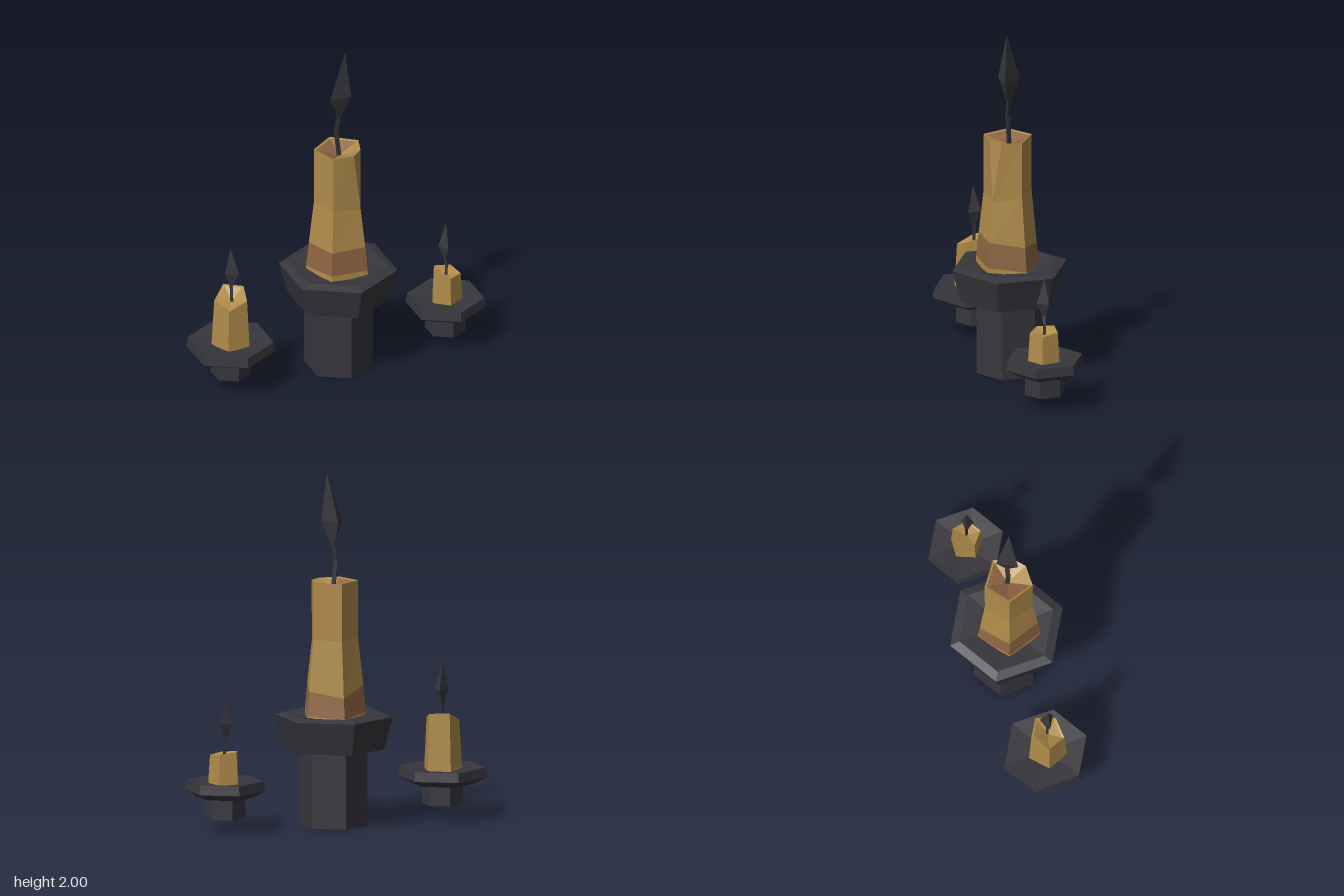
import * as THREE from 'three';

const V = (x, y, z) => new THREE.Vector3(x, y, z);

// Ring of points; angle runs from +x towards +z, y is a number or a list per corner
function ring(n, cx, cz, r, y, startDeg) {
  return Array.from({ length: n }, (_, i) => {
    const a = THREE.MathUtils.degToRad(startDeg + (i * 360) / n);
    return V(cx + r * Math.cos(a), Array.isArray(y) ? y[i] : y, cz + r * Math.sin(a));
  });
}

// Faceted skin through rings, from bottom to top; keep(row, side) selects faces
function loft(rings, keep = () => true) {
  const pos = [];
  const tri = (a, b, c) => {
    const area = b.clone().sub(a).cross(c.clone().sub(a)).length();
    if (area > 1e-8) for (const p of [a, b, c]) pos.push(p.x, p.y, p.z);
  };
  for (let k = 0; k + 1 < rings.length; k++) {
    const a = rings[k], b = rings[k + 1], n = a.length;
    for (let i = 0; i < n; i++) {
      if (!keep(k, i)) continue;
      const j = (i + 1) % n;
      tri(a[i], b[i], a[j]);
      tri(a[j], b[i], b[j]);
    }
  }
  const g = new THREE.BufferGeometry();
  g.setAttribute('position', new THREE.Float32BufferAttribute(pos, 3));
  g.computeVertexNormals();
  return g;
}

const point = (n, x, y, z) => Array.from({ length: n }, () => V(x, y, z));

export function createModel() {
  const root = new THREE.Group();
  const material = (name, color) => {
    const m = new THREE.MeshStandardMaterial({ color });
    m.name = name;
    return m;
  };
  const iron = material('dark iron', 0x36363c);
  const wax = material('golden wax', 0xb08b4a);
  const meltedWax = material('brown wax', 0x8f6642);

  const add = (group, name, geometry, mat) => {
    const mesh = new THREE.Mesh(geometry, mat);
    mesh.name = name;
    group.add(mesh);
  };
  const newGroup = (name) => {
    const g = new THREE.Group();
    g.name = name;
    root.add(g);
    return g;
  };

  // Hexagonal stem and dish from [radius, y] pairs
  const addHolder = (group, cx, cz, profile) =>
    add(group, 'holder', loft(profile.map(([r, y]) => ring(6, cx, cz, r, y, 90))), iron);

  // Bent three-sided wick along a path of [x, y, z]
  const addWick = (group, path, r, start) => {
    const rings = path.map(([x, y, z]) => ring(3, x, z, r, y, start));
    add(group, 'wick', loft(rings), iron);
  };

  // Three-sided spindle flame
  const addFlame = (group, base, mid, r, tip, start) => {
    add(group, 'flame', loft([
      point(3, ...base),
      ring(3, base[0], base[2], r * 0.22, base[1], start),
      ring(3, mid[0], mid[2], r, mid[1], start),
      point(3, ...tip),
    ]), iron);
  };

  // ---- Large centre candle ----
  const centre = newGroup('centreCandle');
  const cx = 0.01, cz = 0.012;
  addHolder(centre, cx, 0, [
    [0, 0], [0.193, 0], [0.193, 0.435], [0.286, 0.435],
    [0.336, 0.62], [0.28, 0.635], [0, 0.6],
  ]);

  // Pentagon with its front left corner doubled, so the top can be bevelled
  const body = (r, y) => {
    const p = ring(5, cx, cz, r, y, -90);
    return [p[0], p[1], p[2].clone(), p[2], p[3], p[4]];
  };
  const rim = body(0.142, 1.385);
  rim[2].set(0.112, 1.385, 0.078);
  rim[3].set(0.05, 1.385, 0.13);
  const inner = rim.map((p) => V(cx + (p.x - cx) * 0.9, 1.38, cz + (p.z - cz) * 0.9));
  const bodyRings = [
    body(0.19, 0.6),
    body(0.186, [0.62, 0.63, 0.655, 0.66, 0.64]),
    body(0.171, [0.74, 0.77, 0.8, 0.8, 0.79]),
    body(0.141, [1.06, 1.06, 1.03, 1.06, 1.06]),
    rim,
    inner,
    point(6, cx, 1.335, 0.005),
  ];
  // Brown areas: the band near the foot and the back of the melted bowl
  const isBrown = (row, side) => row === 1 || (row === 5 && (side === 0 || side >= 4));
  add(centre, 'candleBody', loft(bodyRings, (k, i) => !isBrown(k, i)), wax);
  add(centre, 'meltedWax', loft(bodyRings, isBrown), meltedWax);
  addWick(centre, [[0.01, 1.33, 0.005], [-0.01, 1.5, 0.005], [0.01, 1.61, 0.005]], 0.016, -90);
  addFlame(centre, [0.01, 1.59, 0.005], [0.006, 1.72, 0.01], 0.073, [0.04, 2, 0.026], -90);

  // ---- Small side candles ----
  const sides = [
    {
      name: 'rightCandle', x: -0.643, z: 0.006, dish: 1, start: -95, r: [0.114, 0.098],
      top: [0.605, 0.6, 0.565, 0.525, 0.555], bowl: 0.54,
      wick: [[-0.64, 0.53, 0.008], [-0.645, 0.65, 0.008]], wickR: 0.01,
      base: [-0.645, 0.64, 0.01], mid: [-0.638, 0.73, 0.01], tip: [-0.65, 0.885, 0.01],
      flameR: 0.045, flameStart: 180,
    },
    {
      name: 'leftCandle', x: 0.664, z: 0, dish: 0.9, start: 95, r: [0.094, 0.083],
      top: [0.44, 0.45, 0.458, 0.448, 0.435], bowl: 0.425,
      wick: [[0.667, 0.42, 0], [0.67, 0.49, 0], [0.66, 0.54, 0]], wickR: 0.01,
      base: [0.66, 0.53, 0], mid: [0.661, 0.61, 0.002], tip: [0.665, 0.757, 0],
      flameR: 0.041, flameStart: 90,
    },
  ];
  for (const s of sides) {
    const g = newGroup(s.name);
    const d = s.dish;
    addHolder(g, s.x, -0.003, [
      [0, 0.08], [0.116, 0.08], [0.116, 0.198], [0.18 * d, 0.198],
      [0.252 * d, 0.235], [0.243 * d, 0.29], [0, 0.265],
    ]);
    add(g, 'candleBody', loft([
      ring(5, s.x, s.z, s.r[0], 0.26, s.start),
      ring(5, s.x, s.z, s.r[1], s.top, s.start),
      ring(5, s.x, s.z, s.r[1] * 0.85, s.top.map((y) => y - 0.004), s.start),
      point(5, s.x, s.bowl, s.z),
    ]), wax);
    addWick(g, s.wick, s.wickR, s.flameStart);
    addFlame(g, s.base, s.mid, s.flameR, s.tip, s.flameStart);
  }
  return root;
}
